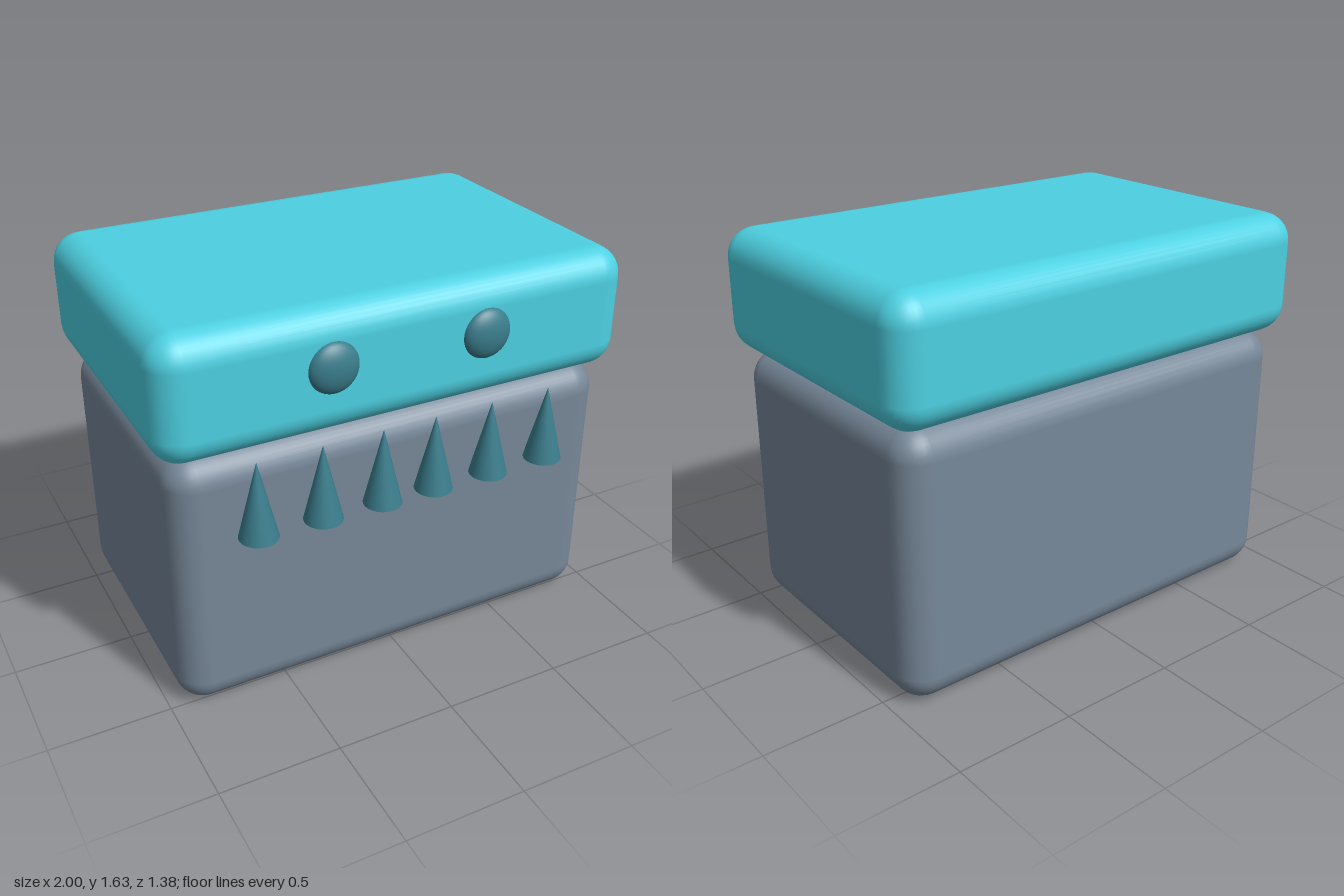
import * as THREE from 'three';
import { RoundedBoxGeometry } from 'three/addons/geometries/RoundedBoxGeometry.js';

const bodyMaterial = new THREE.MeshStandardMaterial({ color: 0x778899 });
const lidMaterial = new THREE.MeshStandardMaterial({ color: 0x4dd0e1 });
const detailMaterial = new THREE.MeshStandardMaterial({ color: 0x3a7d8c });

export function createModel() {
  const model = new THREE.Group();
  model.name = 'chestCreature';

  const add = (name, geometry, material, x, y, z) => {
    const mesh = new THREE.Mesh(geometry, material);
    mesh.name = name;
    mesh.position.set(x, y, z);
    model.add(mesh);
    return mesh;
  };

  // Rounded chest and its slightly larger lid
  add('body', new RoundedBoxGeometry(1.91, 1.12, 1.21, 4, 0.12), bodyMaterial, 0, 0.56, -0.04);
  add('lid', new RoundedBoxGeometry(2, 0.51, 1.3, 4, 0.12), lidMaterial, 0, 1.375, -0.04);

  // Flattened eyes and upward-pointing teeth, mirrored left and right
  const eyeGeometry = new THREE.SphereGeometry(0.103, 32, 20);
  const toothGeometry = new THREE.ConeGeometry(0.078, 0.32, 24);
  for (const [side, sign] of [['left', 1], ['right', -1]]) {
    const eye = add(`${side}Eye`, eyeGeometry, detailMaterial, sign * 0.325, 1.41, 0.605);
    eye.scale.z = 0.5;
    [0.115, 0.372, 0.64].forEach((x, i) => {
      add(`${side}Tooth${i + 1}`, toothGeometry, detailMaterial, sign * x, 0.945, 0.612);
    });
  }

  return model;
}
